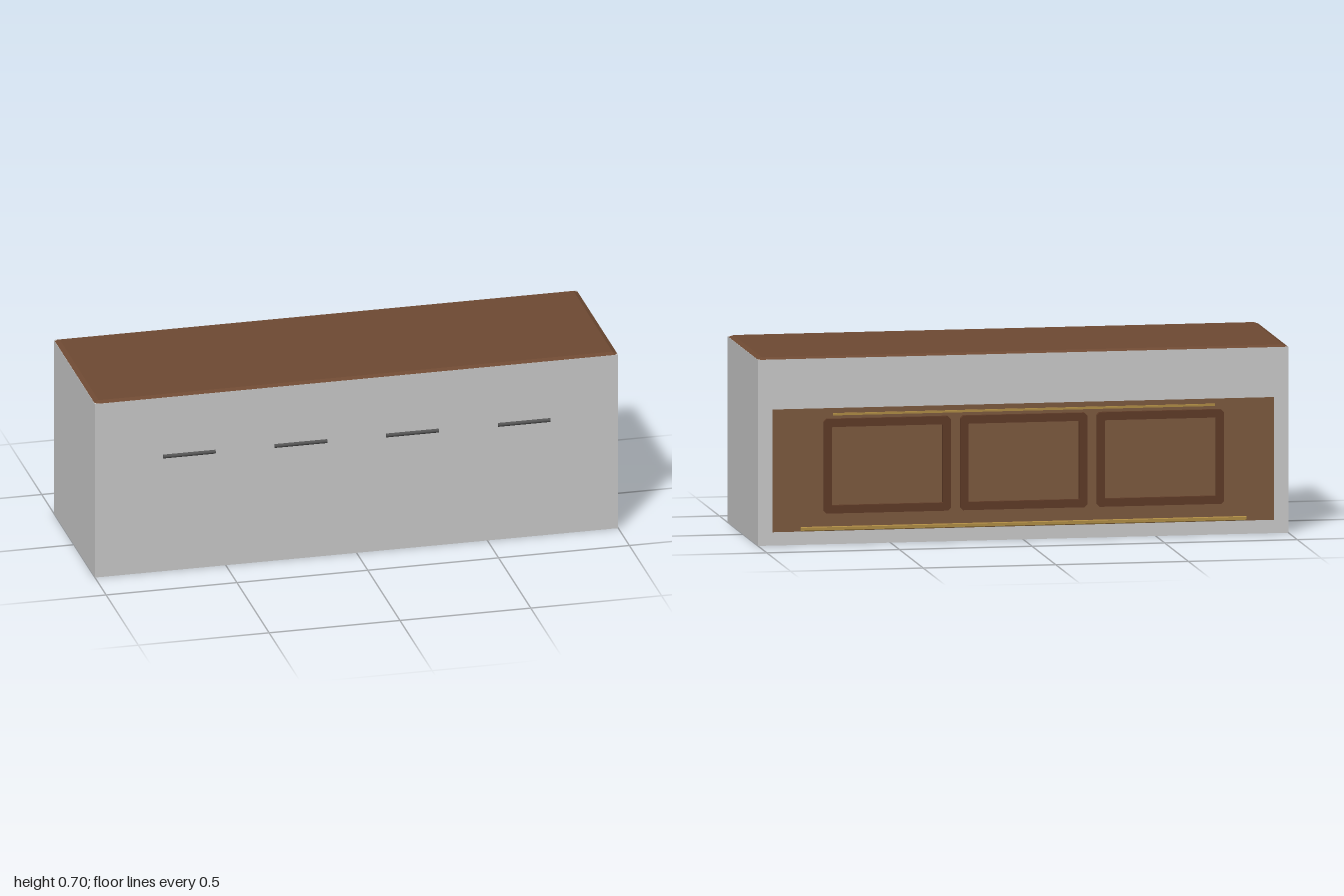
import * as THREE from 'three';

const mat = (color) => new THREE.MeshStandardMaterial({ color });

export function createModel() {
  const group = new THREE.Group();
  const grey = mat(0xcccccc), wood = mat(0x6f4a33), panelWood = mat(0x7d5a3f);
  const frameWood = mat(0x5f3b27), brass = mat(0xb08d45), dark = mat(0x555555);

  const add = (name, geometry, material, x, y, z) => {
    const mesh = new THREE.Mesh(geometry, material);
    mesh.name = name;
    mesh.position.set(x, y, z);
    group.add(mesh);
    return mesh;
  };

  // Rectangle with clipped corners, as a shape or as a hole
  const clippedRect = (Type, w, h, c) => {
    const x = w / 2, y = h / 2;
    return new Type([
      [-x + c, -y], [x - c, -y], [x, -y + c], [x, y - c],
      [x - c, y], [-x + c, y], [-x, y - c], [-x, -y + c],
    ].map(([a, b]) => new THREE.Vector2(a, b)));
  };

  // Counter body
  const midZ = 0.007;
  add('body', new THREE.BoxGeometry(2, 0.697, 0.64), grey, 0, 0.3485, midZ);

  // Worktop, let into the body, with a chamfered upper edge
  const chamfer = 0.017;
  const top = new THREE.ExtrudeGeometry(
    clippedRect(THREE.Shape, 1.998 - 2 * chamfer, 0.638 - 2 * chamfer, 0.002),
    { depth: 0.05, bevelEnabled: true, bevelSize: chamfer, bevelThickness: 0.007, bevelSegments: 1 });
  top.rotateX(-Math.PI / 2);
  add('worktop', top, wood, 0, 0.647, midZ);

  // Round drawer handles along the front
  const handle = new THREE.CylinderGeometry(0.0075, 0.0075, 0.2, 16);
  handle.rotateZ(Math.PI / 2);
  for (const x of [-0.64, -0.213, 0.213, 0.64]) add('handle', handle, dark, x, 0.461, 0.3275);

  // Wooden panel on the back
  add('backPanel', new THREE.BoxGeometry(1.89, 0.46, 0.02), panelWood, 0, 0.28, -0.304);

  // Three raised frames on the back panel
  const frameShape = clippedRect(THREE.Shape, 0.478, 0.354, 0.01);
  frameShape.holes.push(clippedRect(THREE.Path, 0.418, 0.294, 0.002));
  const frame = new THREE.ExtrudeGeometry(frameShape, { depth: 0.017, bevelEnabled: false });
  for (const x of [-0.515, 0, 0.515]) add('backFrame', frame, frameWood, x, 0.294, -0.33);

  // Brass trim above and below the frames
  add('upperTrim', new THREE.BoxGeometry(1.44, 0.008, 0.008), brass, 0, 0.489, -0.33);
  const rail = new THREE.ExtrudeGeometry(clippedRect(THREE.Shape, 0.011, 0.015, 0.002),
    { depth: 1.68, bevelEnabled: false });
  rail.translate(0, 0, -0.84);
  rail.rotateY(Math.PI / 2);
  add('lowerTrim', rail, brass, 0, 0.06, -0.3205);

  return group;
}
